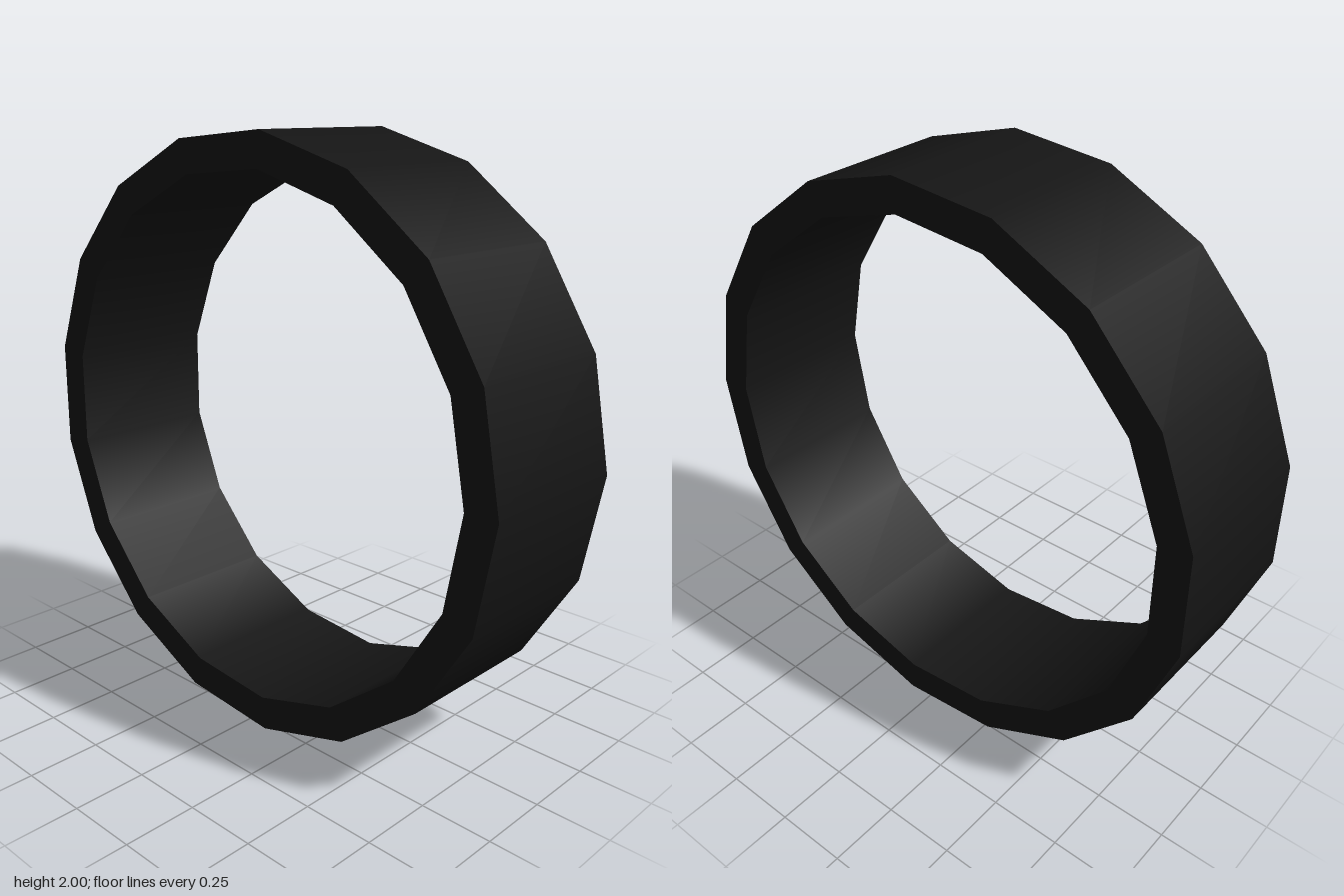
import * as THREE from 'three';
import { mergeGeometries } from 'three/addons/utils/BufferGeometryUtils.js';

const SIDES = 17, OUTER = 1.0043, INNER = 0.889, HALF = 0.281;

export function createModel() {
  const group = new THREE.Group();
  group.name = 'ring';

  // Rectangular band section (radius, depth); each side is lathed on its own so the rims stay sharp
  const section = [[OUTER, -HALF], [OUTER, HALF], [INNER, HALF], [INNER, -HALF]]
    .map(([r, d]) => new THREE.Vector2(r, d));
  const walls = section.map((p, i) =>
    new THREE.LatheGeometry([p, section[(i + 1) % 4]], SIDES, Math.PI / 2));

  // Stand the band up facing +z, one corner pointing to +x
  const geometry = mergeGeometries(walls);
  geometry.rotateX(Math.PI / 2);
  geometry.translate(-OUTER * (1 - Math.cos(Math.PI / SIDES)) / 2, 1, 0);

  const band = new THREE.Mesh(geometry, new THREE.MeshStandardMaterial({ color: 0x151515 }));
  band.name = 'band';
  group.add(band);
  return group;
}
